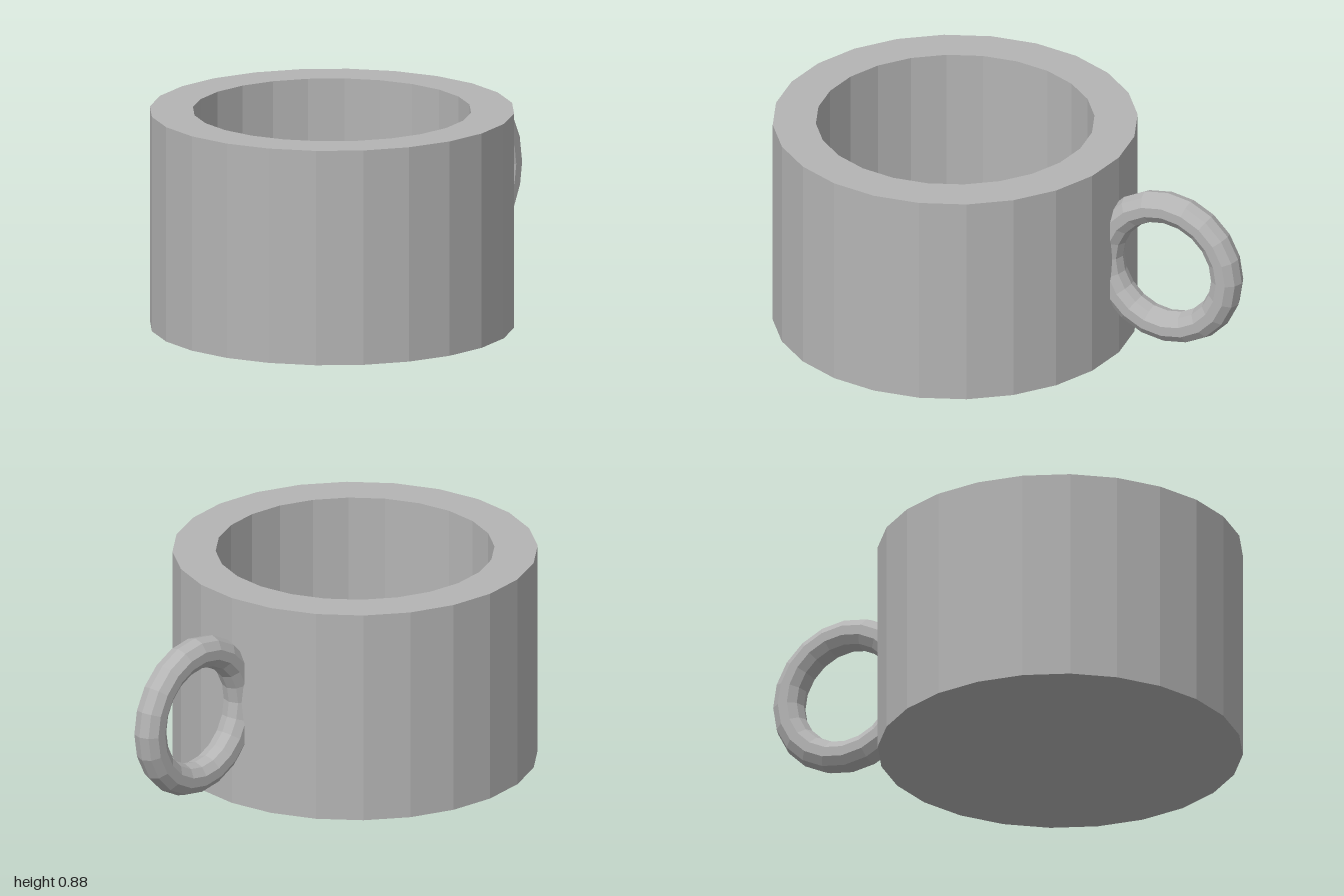
import * as THREE from 'three';

// Give every face its own flat normal
function faceted(geometry) {
  const flat = geometry.toNonIndexed();
  flat.computeVertexNormals();
  return flat;
}

export function createModel() {
  const group = new THREE.Group();
  group.name = 'mug';

  const grey = new THREE.MeshStandardMaterial({ color: 0xb4b4b4 });
  grey.name = 'grey';

  const height = 0.875, outer = 0.727, inner = 0.555, floor = 0.17;

  // Cup: closed profile of base, outer wall, rim, inner wall and floor
  const profile = [
    [0, 0], [outer, 0], [outer, height],
    [inner, height], [inner, floor], [0, floor],
  ].map(([x, y]) => new THREE.Vector2(x, y));
  const cup = new THREE.Mesh(faceted(new THREE.LatheGeometry(profile, 24)), grey);
  cup.name = 'cup';
  cup.position.x = -0.273;
  group.add(cup);

  // Handle: ring sunk partly into the wall
  const handle = new THREE.Mesh(faceted(new THREE.TorusGeometry(0.264, 0.065, 10, 20)), grey);
  handle.name = 'handle';
  handle.position.set(0.671, height / 2, 0);
  group.add(handle);

  return group;
}
